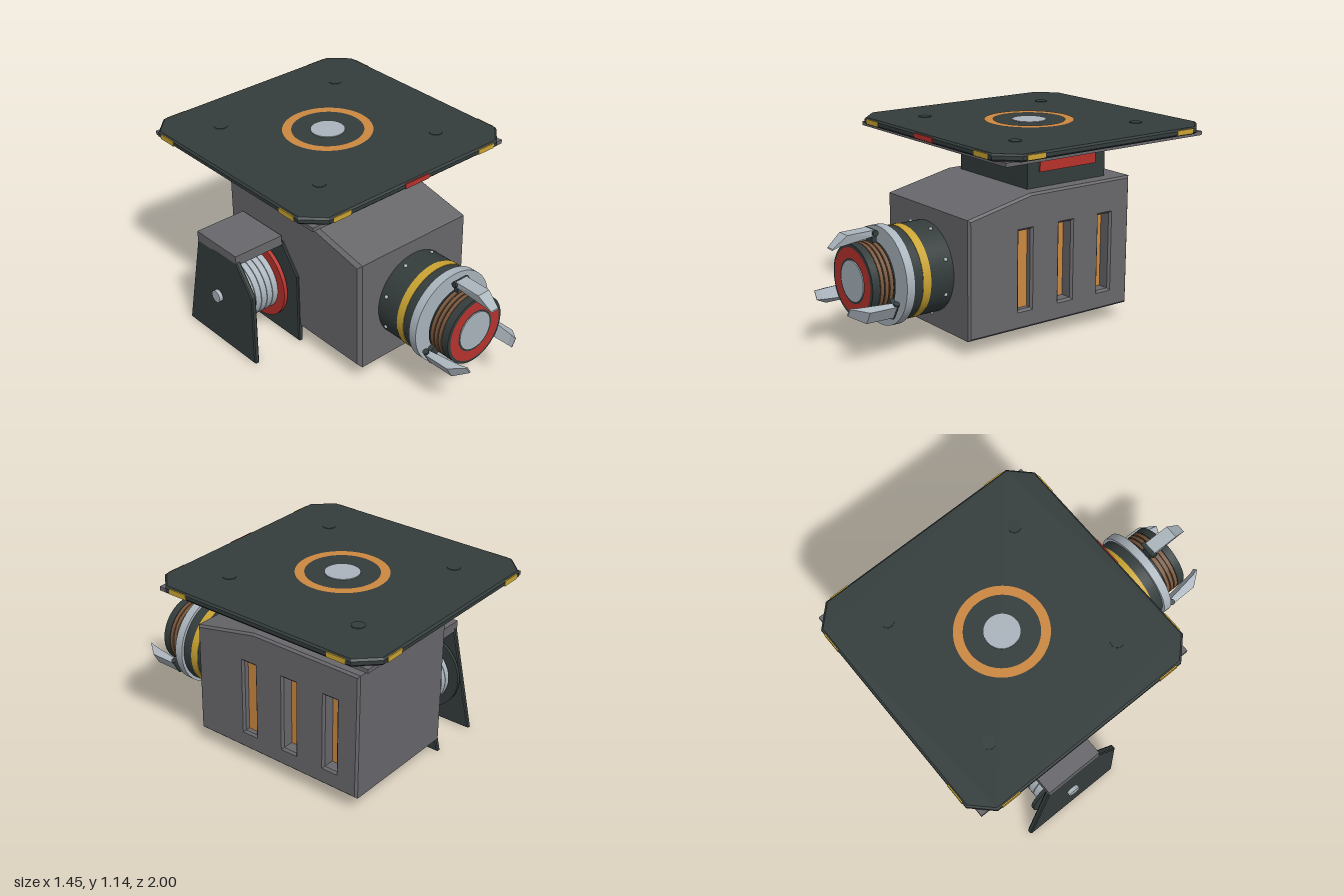
import * as THREE from 'three';

const mat = (name, color) => {
  const m = new THREE.MeshStandardMaterial({ color });
  m.name = name;
  return m;
};

export function createModel() {
  const model = new THREE.Group();
  model.name = 'dockingModule';

  const dark = mat('darkPanel', 0x343c3c);
  const grey = mat('casingGrey', 0x68686c);
  const silver = mat('silver', 0xabb5bd);
  const red = mat('red', 0xb8322c);
  const yellow = mat('yellow', 0xcaa432);
  const orange = mat('orange', 0xcc8840);
  const brown = mat('coilBrown', 0x7a583e);
  const black = mat('black', 0x202526);

  const add = (name, geometry, material, x = 0, y = 0, z = 0, parent = model) => {
    const mesh = new THREE.Mesh(geometry, material);
    mesh.name = name;
    mesh.position.set(x, y, z);
    parent.add(mesh);
    return mesh;
  };
  // Box given by its min and max on each axis
  const box = (name, material, x0, x1, y0, y1, z0, z1, parent) =>
    add(name, new THREE.BoxGeometry(x1 - x0, y1 - y0, z1 - z0), material,
      (x0 + x1) / 2, (y0 + y1) / 2, (z0 + z1) / 2, parent);
  // Cylinder along one axis, from a to b
  const rod = (name, material, axis, r, a, b, x, y, z, parent, sides = 48) => {
    const g = new THREE.CylinderGeometry(r, r, b - a, sides);
    if (axis === 'x') g.rotateZ(-Math.PI / 2);
    if (axis === 'z') g.rotateX(Math.PI / 2);
    const mesh = add(name, g, material, x, y, z, parent);
    mesh.position[axis] += (a + b) / 2;
    return mesh;
  };
  const shapeOf = pts => new THREE.Shape(pts.map(p => new THREE.Vector2(...p)));
  // Side profile in (z, y), extruded from x0 to x1 with a small bevel
  const sideExtrude = (shape, x0, x1, bevel) => new THREE.ExtrudeGeometry(shape, {
    depth: x1 - x0 - 2 * bevel, bevelEnabled: bevel > 0, bevelSize: bevel,
    bevelThickness: bevel, bevelOffset: -bevel, bevelSegments: 1,
  }).rotateY(-Math.PI / 2).translate(x1 - bevel, 0, 0);

  // ---- Casing: solid block plus a slotted wall on the left side ----
  const profile = [[-0.70, 0.09], [0.405, 0.09], [0.405, 0.75], [0, 0.835], [-0.70, 0.835]];
  add('casing', sideExtrude(shapeOf(profile), -0.375, 0.25, 0.02), grey);
  const wall = shapeOf(profile);
  [[-0.005, 0.075, 0.36], [-0.285, -0.2, 0.325], [-0.56, -0.48, 0.325]].forEach(([z0, z1, x]) => {
    wall.holes.push(new THREE.Path([[z0, 0.2], [z0, 0.64], [z1, 0.64], [z1, 0.2]]
      .map(p => new THREE.Vector2(...p))));
    box('slotInsert', orange, x - 0.02, x, 0.19, 0.65, z0 - 0.015, z1 + 0.015);
  });
  add('slottedWall', sideExtrude(wall, 0.2, 0.4, 0.012), grey);

  // ---- Neck with red side panels ----
  box('neck', dark, -0.295, 0.315, 0.8, 1.09, -0.585, -0.04);
  box('neckPanelRight', red, -0.304, -0.295, 0.92, 1.085, -0.51, -0.12);
  box('neckPanelLeft', red, 0.315, 0.324, 0.92, 1.085, -0.51, -0.12);

  // ---- Top plate ----
  const plate = new THREE.Group();
  plate.name = 'topPlate';
  plate.position.set(0.0125, 0, -0.288);
  model.add(plate);
  const h = 0.706, c = 0.596;
  const octagon = shapeOf([[-c, -h], [c, -h], [h, -c], [h, c], [c, h], [-c, h], [-h, c], [-h, -c]]);
  add('plate', new THREE.ExtrudeGeometry(octagon, {
    depth: 0.02, bevelSize: 0.01, bevelThickness: 0.01, bevelOffset: -0.01, bevelSegments: 1,
  }).rotateX(-Math.PI / 2), dark, 0, 1.11, 0, plate);

  // Underside rim, panel and bolts
  const square = s => [[-s, -s], [s, -s], [s, s], [-s, s]];
  const rim = shapeOf(square(0.672));
  rim.holes.push(new THREE.Path(square(0.635).reverse().map(p => new THREE.Vector2(...p))));
  add('undersideRim', new THREE.ExtrudeGeometry(rim, { depth: 0.022, bevelEnabled: false })
    .rotateX(-Math.PI / 2), grey, 0, 1.08, 0, plate);
  box('undersidePanel', black, -0.635, 0.635, 1.088, 1.102, -0.635, 0.635, plate);
  for (const sx of [-1, 1]) for (const sz of [-1, 1]) {
    rod('plateBolt', silver, 'y', 0.02, 1.063, 1.09, sx * 0.59, 0, sz * 0.59, plate, 16);
    rod('plateBoss', dark, 'y', 0.036, 1.135, 1.143, sx * 0.415, 0, sz * 0.418, plate, 24);
  }

  // Edge markers, two on each side, and one red at the front
  for (let i = 0; i < 4; i++) {
    const side = new THREE.Group();
    side.name = 'edgeMarkers';
    side.rotation.y = i * Math.PI / 2;
    plate.add(side);
    for (const s of [-1, 1])
      box('yellowMarker', yellow, s * 0.51 - 0.057, s * 0.51 + 0.057, 1.106, 1.134, 0.701, 0.709, side);
    if (i === 0) box('redMarker', red, -0.085, 0.085, 1.106, 1.134, 0.701, 0.709, side);
  }

  // Inlaid ring and hub disc
  add('plateRing', new THREE.RingGeometry(0.2, 0.25, 64).rotateX(-Math.PI / 2), orange, 0, 1.143, 0, plate);
  rod('plateHub', silver, 'y', 0.095, 1.135, 1.144, 0, 0, 0, plate);

  // ---- Nozzle at the front ----
  const nozzle = new THREE.Group();
  nozzle.name = 'nozzle';
  nozzle.position.set(0.0125, 0.418, 0);
  model.add(nozzle);
  const barrel = (name, material, r, z0, z1) => rod(name, material, 'z', r, z0, z1, 0, 0, 0, nozzle, 64);
  barrel('barrel', dark, 0.252, 0.39, 0.66);
  barrel('barrelBand', yellow, 0.255, 0.55, 0.598);
  barrel('collar', silver, 0.27, 0.658, 0.708);
  barrel('shaft', silver, 0.045, 0.70, 0.74);
  barrel('head', dark, 0.19, 0.732, 0.85);
  barrel('headRearRim', dark, 0.197, 0.732, 0.74);
  barrel('headFrontRim', dark, 0.197, 0.825, 0.87);
  for (let i = 0; i < 3; i++) barrel('coil', brown, 0.197, 0.744 + i * 0.028, 0.765 + i * 0.028);
  add('headRing', new THREE.RingGeometry(0.122, 0.18, 64), red, 0, 0, 0.873, nozzle);
  barrel('headLens', silver, 0.112, 0.86, 0.876);
  for (let i = 0; i < 8; i++) {
    const a = (i + 0.5) * Math.PI / 4;
    add('barrelBolt', new THREE.SphereGeometry(0.011, 10, 8), silver,
      0.252 * Math.cos(a), 0.252 * Math.sin(a), 0.445, nozzle);
  }

  // Three claws, each with a pivot and a bracket
  const clawShape = shapeOf([[0.745, 0.234], [0.96, 0.205], [1.0, 0.193], [0.998, 0.2], [0.918, 0.263], [0.755, 0.265]]);
  const clawGeo = sideExtrude(clawShape, -0.04, 0.04, 0);
  const cp = clawGeo.attributes.position;
  for (let i = 0; i < cp.count; i++) if (cp.getZ(i) > 0.95) cp.setX(i, cp.getX(i) * 0.65);
  clawGeo.computeVertexNormals();
  for (let i = 0; i < 3; i++) {
    const claw = new THREE.Group();
    claw.name = 'claw';
    claw.rotation.z = i * Math.PI * 2 / 3;
    nozzle.add(claw);
    add('clawFinger', clawGeo, silver, 0, 0, 0, claw);
    rod('clawPivot', dark, 'x', 0.017, -0.05, 0.05, 0, 0.249, 0.755, claw, 16);
    box('clawBracket', dark, -0.03, 0.03, 0.17, 0.245, 0.738, 0.765, claw);
  }

  // ---- Cable spool on the right side ----
  const spool = new THREE.Group();
  spool.name = 'spool';
  model.add(spool);
  const cheek = shapeOf([[-0.70, 0], [-0.095, 0], [-0.095, 0.44], [-0.22, 0.61], [-0.565, 0.61]]);
  add('outerCheek', sideExtrude(cheek, -0.703, -0.672, 0.006), dark, 0, 0, 0, spool);
  add('innerCheek', sideExtrude(cheek, -0.388, -0.357, 0.006), dark, 0, 0, 0, spool);
  box('spoolCover', grey, -0.703, -0.388, 0.592, 0.652, -0.565, -0.22, spool);
  const disc = (name, material, r, x0, x1) => rod(name, material, 'x', r, x0, x1, 0, 0.308, -0.4, spool);
  disc('axle', silver, 0.036, -0.725, -0.38);
  disc('outerFlange', dark, 0.235, -0.654, -0.634);
  disc('drum', grey, 0.155, -0.634, -0.43);
  for (let i = 0; i < 5; i++) disc('cableTurn', silver, 0.182, -0.622 + i * 0.039, -0.587 + i * 0.039);
  disc('innerFlange', red, 0.237, -0.428, -0.405);
  disc('spoolBearing', dark, 0.14, -0.405, -0.386);

  return model;
}
